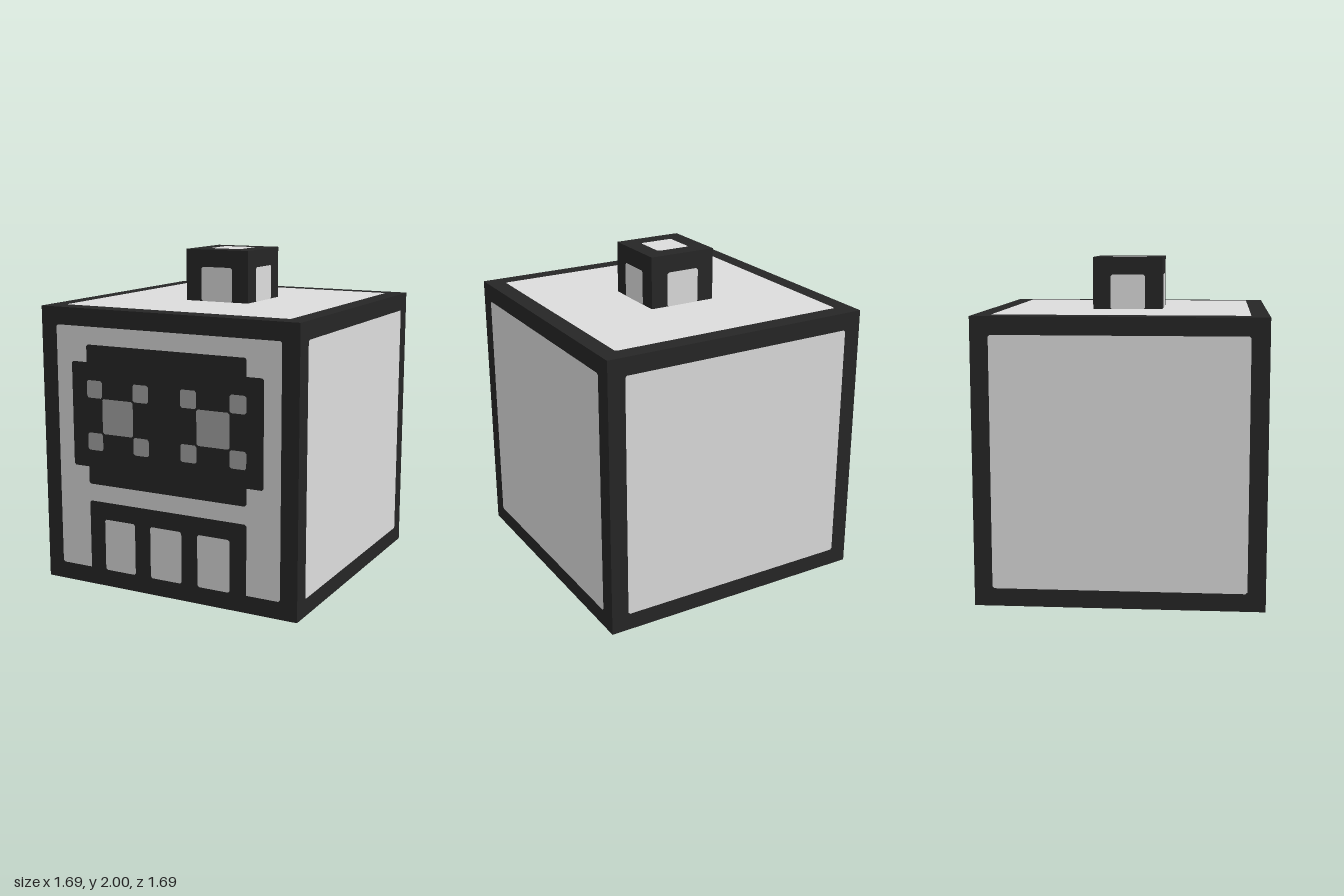
import * as THREE from 'three';

const P = 2 / 19;      // one square of the design grid
const LAYER = 0.002;   // lift of each painted layer

const mat = (name, color) => Object.assign(new THREE.MeshStandardMaterial({ color }), { name });

// Flat plate facing +z with tiny clipped corners, edges given in grid squares
function plate(name, x0, y0, x1, y1, layer, material) {
  const c = 0.1;
  const pts = [
    [x0 + c, y0], [x1 - c, y0], [x1, y0 + c], [x1, y1 - c],
    [x1 - c, y1], [x0 + c, y1], [x0, y1 - c], [x0, y0 + c],
  ].map(([x, y]) => new THREE.Vector2(x * P, y * P));
  const mesh = new THREE.Mesh(new THREE.ShapeGeometry(new THREE.Shape(pts)), material);
  mesh.name = name;
  mesh.position.z = layer * LAYER;
  return mesh;
}

function block(name, w, h, y, material) {
  const mesh = new THREE.Mesh(new THREE.BoxGeometry(w * P, h * P, w * P), material);
  mesh.name = name;
  mesh.position.y = (y + h / 2) * P;
  return mesh;
}

export function createModel() {
  const dark = mat('charcoal', 0x262626);
  const light = mat('lightGrey', 0xdcdcdc);
  const grey = mat('midGrey', 0xa6a6a6);

  const model = new THREE.Group();
  model.name = 'cubeHead';

  // Dark core blocks; their uncovered rims form the outlines
  model.add(block('head', 16, 16, 0, dark), block('knob', 4, 3, 16, dark));

  // Side panels of the head and the knob
  for (let i = 0; i < 4; i++) {
    const side = new THREE.Group();
    side.name = ['front', 'left', 'back', 'right'][i] + 'Side';
    side.rotation.y = i * Math.PI / 2;
    const headPanel = plate('headPanel', -7, 1, 7, 15, 1, light);
    headPanel.position.z += 8 * P;
    const knobPanel = plate('knobPanel', -1, 16, 1, 18, 1, light);
    knobPanel.position.z += 2 * P;
    side.add(headPanel, knobPanel);
    model.add(side);
  }

  // Horizontal panels: head top, knob top, underside
  for (const [name, half, y, dir] of [
    ['headTopPanel', 7, 16, 1], ['knobTopPanel', 1, 19, 1], ['undersidePanel', 7, 0, -1],
  ]) {
    const panel = plate(name, -half, -half, half, half, 0, light);
    panel.rotation.x = -dir * Math.PI / 2;
    // Outermost panels stay almost flush so the overall height is kept
    panel.position.y = y * P + dir * (y === 16 ? LAYER : LAYER / 2);
    model.add(panel);
  }

  // Face on the front
  const face = new THREE.Group();
  face.name = 'face';
  face.position.z = 8 * P;
  model.add(face);

  // Dark visor with stepped corners
  face.add(plate('visorWide', -6, 7, 6, 13, 2, dark), plate('visorTall', -5, 6, 5, 14, 2.5, dark));

  // Cross-shaped eyes: a centre square and four corner squares
  for (const x of [-5, 1]) {
    const eye = new THREE.Group();
    eye.name = x < 0 ? 'rightEye' : 'leftEye';
    eye.add(plate('eyeCentre', x + 1, 9, x + 3, 11, 3.5, grey));
    for (const dx of [0, 3]) {
      for (const y of [8, 11]) eye.add(plate('eyeCorner', x + dx, y, x + dx + 1, y + 1, 3.5, grey));
    }
    face.add(eye);
  }

  // Mouth frame with three teeth
  face.add(plate('mouthFrame', -5, 0.5, 5, 5, 2, dark));
  for (const x of [-4, -1, 2]) face.add(plate('tooth', x, 1, x + 2, 4, 3, light));

  return model;
}
